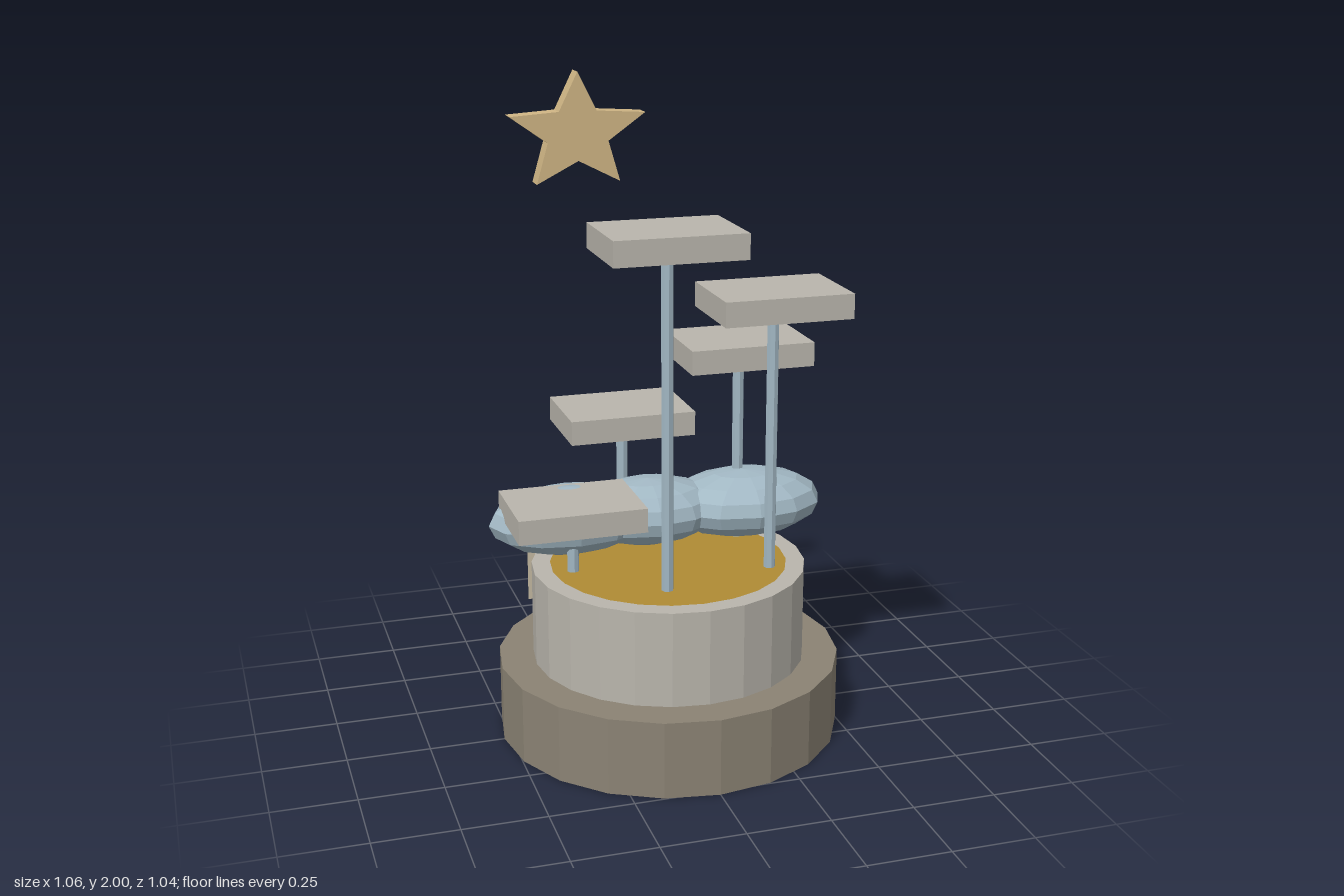
import * as THREE from 'three';

const material = (name, color, extra = {}) => {
  const m = new THREE.MeshStandardMaterial({ color, flatShading: true, ...extra });
  m.name = name;
  return m;
};

export function createModel() {
  const model = new THREE.Group();
  const stone = material('darkStone', 0x8b8374);
  const grey = material('paleStone', 0xb9b5ac);
  const blue = material('mistBlue', 0xa2b8c4);
  const gold = material('paleGold', 0xcfb584);
  const ochre = material('ochre', 0xb08b34);
  const sand = material('sand', 0xc6bba3, { side: THREE.DoubleSide });

  const add = (name, geometry, mat, x, y, z) => {
    const mesh = new THREE.Mesh(geometry, mat);
    mesh.name = name;
    mesh.position.set(x, y, z);
    model.add(mesh);
    return mesh;
  };

  // Two-tier round pedestal with an inlaid disc on top
  const deck = 0.525;
  add('pedestalBase', new THREE.CylinderGeometry(0.522, 0.522, 0.235, 20), stone, 0, 0.1175, 0);
  add('pedestalDrum', new THREE.CylinderGeometry(0.416, 0.416, deck - 0.235, 24), grey, 0, (deck + 0.235) / 2, 0);
  add('deckInlay', new THREE.CircleGeometry(0.36, 24).rotateX(-Math.PI / 2), ochre, 0, deck + 0.001, 0);

  // Plaque standing behind the drum
  add('backPlaque', new THREE.PlaneGeometry(0.69, 0.227).rotateY(Math.PI), sand, 0, 0.38, -0.43);

  // Rising platforms, each on its own thin post: x, centre y, z
  const thick = 0.074;
  const steps = [
    [-0.298, 0.715, 0.002],
    [-0.081, 0.927, -0.228],
    [0.27, 1.139, -0.144],
    [0.278, 1.351, 0.138],
    [-0.071, 1.562, 0.228],
  ];
  for (const [x, y, z] of steps) {
    const height = y - thick / 2 - deck;
    add('platform', new THREE.BoxGeometry(0.387, thick, 0.285), grey, x, y, z);
    add('post', new THREE.CylinderGeometry(0.018, 0.018, height, 8), blue, x, deck + height / 2, z);
  }

  // Cloud bank of three flattened puffs: x, z, x radius, z radius
  const puffs = [
    [-0.28, -0.11, 0.25, 0.155],
    [-0.03, -0.118, 0.23, 0.153],
    [0.28, -0.114, 0.25, 0.172],
  ];
  for (const [x, z, rx, rz] of puffs) {
    add('cloudPuff', new THREE.SphereGeometry(1, 12, 8), blue, x, 0.652, z).scale.set(rx, 0.103, rz);
  }

  // Floating five-pointed star, slightly widened
  const shape = new THREE.Shape();
  for (let i = 0; i < 10; i++) {
    const r = i % 2 ? 0.078 : 0.174;
    const a = Math.PI / 2 + (i * Math.PI) / 5;
    const x = 1.2 * r * Math.cos(a);
    const y = r * Math.sin(a);
    if (i) shape.lineTo(x, y);
    else shape.moveTo(x, y);
  }
  shape.closePath();
  const star = new THREE.ExtrudeGeometry(shape, { depth: 0.058, bevelEnabled: false });
  add('star', star, gold, -0.248, 1.826, -0.119);

  return model;
}
